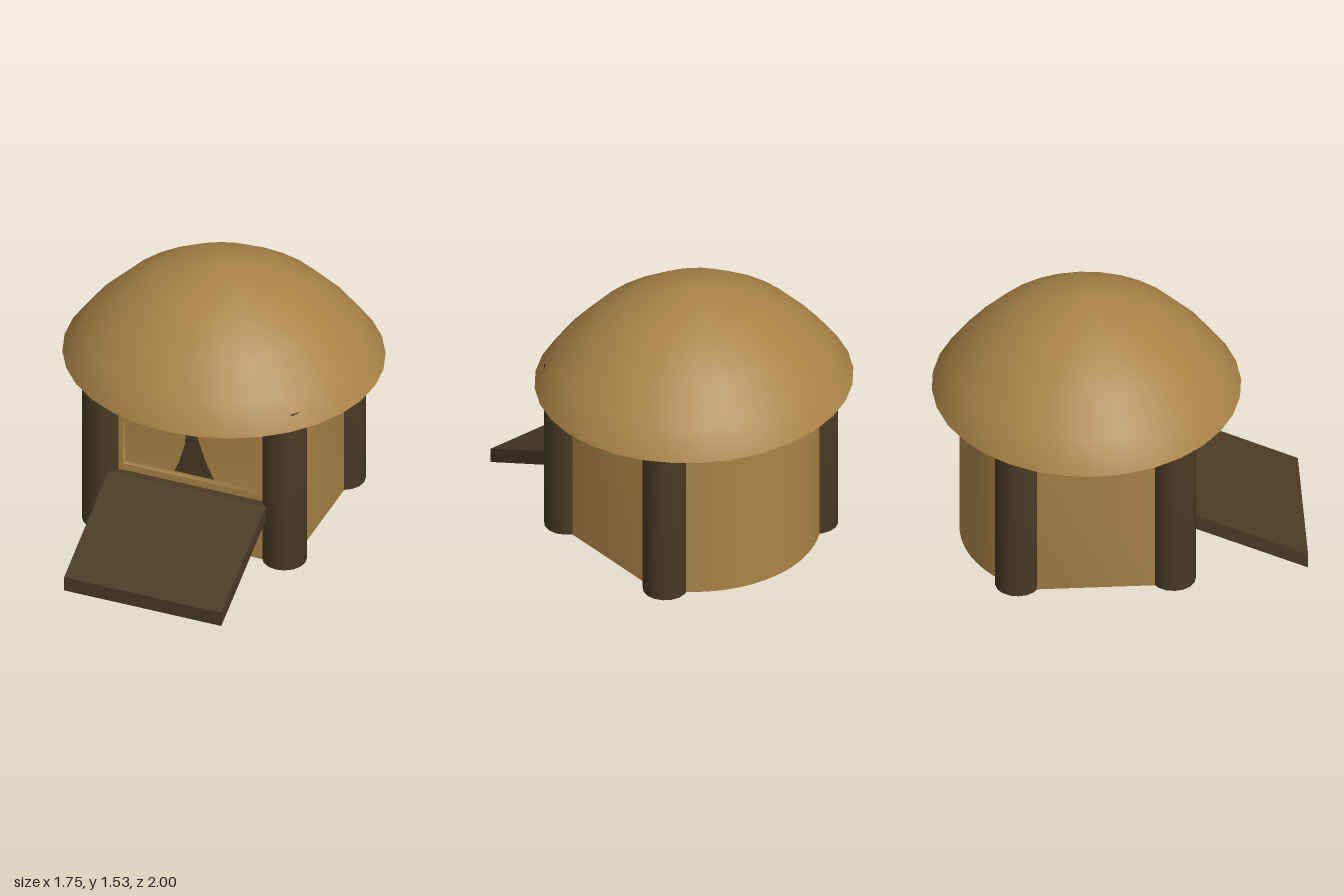
import * as THREE from 'three';
import { mergeVertices, toCreasedNormals } from 'three/addons/utils/BufferGeometryUtils.js';

const EAVES = 0.935;
const CENTRE_Z = -0.165; // axis of the round body and roof

const mat = (name, color) => Object.assign(new THREE.MeshStandardMaterial({ color }), { name });
const polygon = (points) => new THREE.Shape(points.map(([x, y]) => new THREE.Vector2(x, y)));

// Welds the corners so that shading runs softly over every edge
function soften(geometry) {
  geometry.deleteAttribute('normal');
  geometry.deleteAttribute('uv');
  const welded = mergeVertices(geometry);
  welded.computeVertexNormals();
  return welded;
}

export function createModel() {
  const group = new THREE.Group();
  group.name = 'hut';
  const straw = mat('straw', 0xaa8447);
  const darkWood = mat('dark wood', 0x493a24);

  const add = (name, geometry, material, x = 0, y = 0, z = 0) => {
    const mesh = new THREE.Mesh(geometry, material);
    mesh.name = name;
    mesh.position.set(x, y, z);
    group.add(mesh);
  };

  // Body: a round plan cut straight at the front and sides
  const plan = new THREE.Shape();
  const half = 0.578, radius = 0.685, angle = Math.acos(half / radius);
  plan.moveTo(-half, -0.43);
  plan.lineTo(half, -0.43);
  plan.lineTo(half, radius * Math.sin(angle));
  plan.absarc(0, 0, radius, angle, Math.PI - angle, false);
  plan.closePath();
  const body = new THREE.ExtrudeGeometry(plan, { depth: EAVES - 0.005, bevelEnabled: false, curveSegments: 16 });
  body.rotateX(-Math.PI / 2);
  add('walls', toCreasedNormals(body, Math.PI / 3.2), straw, 0, 0.005, CENTRE_Z);

  // Front wall with a window opening
  const front = polygon([[-half, 0.005], [half, 0.005], [half, EAVES], [-half, EAVES]]);
  front.holes.push(polygon([[-0.385, 0.421], [-0.385, 0.882], [0.389, 0.882], [0.389, 0.421]]));
  add('frontWall', new THREE.ExtrudeGeometry(front, { depth: 0.06, bevelEnabled: false }), straw, 0, 0, 0.265);

  // Shallow recess in the opening: a box without its front, turned inside out
  const recess = new THREE.BoxGeometry(0.772, 0.459, 0.035);
  const faces = Array.from(recess.index.array);
  recess.setIndex([...faces.slice(0, 24), ...faces.slice(30)]);
  recess.clearGroups();
  recess.scale(-1, 1, 1);
  add('windowRecess', soften(recess), straw, 0.002, 0.6515, 0.3075);

  // Dark tapering mark on the back of the recess
  const mark = polygon([[-0.1, 0.425], [0.13, 0.425], [0.08, 0.53], [0.025, 0.7],
    [0.012, 0.755], [-0.015, 0.755], [-0.032, 0.72], [-0.04, 0.61], [-0.075, 0.49]]);
  add('windowMark', new THREE.ShapeGeometry(mark), darkWood, 0, 0, 0.293);

  // Four corner posts, the front ones just touching the thatch
  for (const side of [-1, 1]) {
    for (const [name, z, top] of [['frontPost', 0.27, 1.008], ['backPost', -0.57, 0.98]]) {
      const post = new THREE.CylinderGeometry(0.121, 0.121, top - 0.005, 16);
      add(name, soften(post), darkWood, 0.006 + side * 0.523, (top + 0.005) / 2, z);
    }
  }

  // Domed roof with a flat underside, slightly narrower from front to back
  const profile = [[0, EAVES], [0.84, EAVES], [0.876, EAVES], [0.76, 1.09], [0.595, 1.26], [0.375, 1.405], [0, 1.528]];
  const roof = new THREE.LatheGeometry(profile.map(([r, y]) => new THREE.Vector2(r, y)), 32);
  roof.scale(1, 1, 0.951);
  add('roof', soften(roof), straw, 0, 0, CENTRE_Z - 0.002);

  // Sloping entrance ramp
  const slope = polygon([[0.32, 0.313], [1, 0], [1, 0.085], [0.37, 0.38], [0.32, 0.38]]);
  const ramp = new THREE.ExtrudeGeometry(slope, { depth: 0.913, bevelEnabled: false });
  ramp.rotateY(-Math.PI / 2);
  add('ramp', ramp, darkWood, 0.46, 0, 0);

  return group;
}
